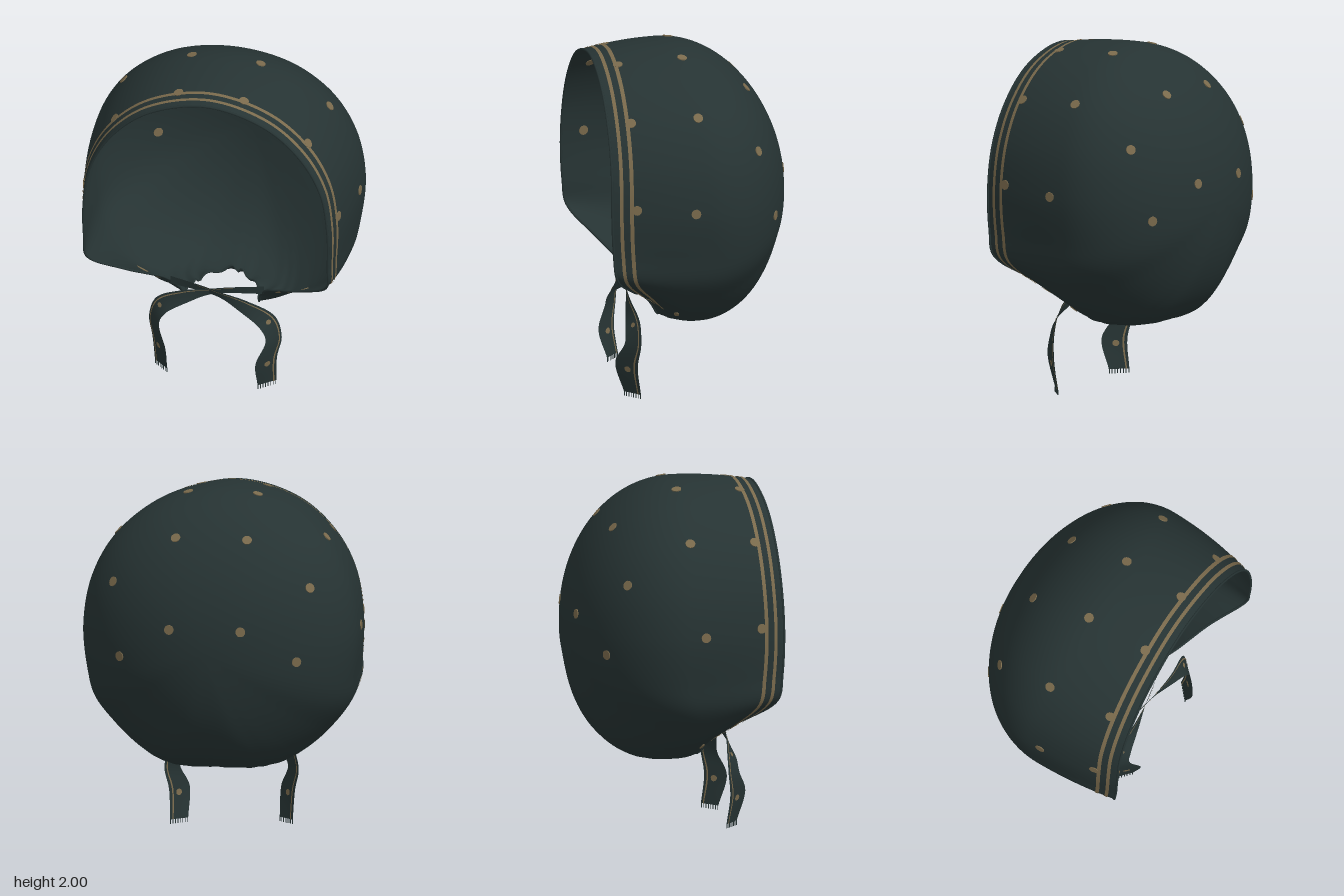
import * as THREE from 'three';
import { mergeVertices } from 'three/addons/utils/BufferGeometryUtils.js';

const V = (x, y, z) => new THREE.Vector3(x, y, z);

// Smooth sheet from a rule f(u, v), u in [u0, u1], v in [v0, v1]
function sheet(f, nu, nv, [u0, u1, v0, v1] = [0, 1, 0, 1]) {
  const pos = [], idx = [];
  for (let i = 0; i <= nu; i++) for (let j = 0; j <= nv; j++) {
    pos.push(...f(u0 + (u1 - u0) * i / nu, v0 + (v1 - v0) * j / nv).toArray());
    if (i < nu && j < nv) {
      const a = i * (nv + 1) + j, b = a + nv + 1;
      idx.push(a, a + 1, b, b, a + 1, b + 1);
    }
  }
  let g = new THREE.BufferGeometry();
  g.setAttribute('position', new THREE.Float32BufferAttribute(pos, 3));
  g.setIndex(idx);
  g = mergeVertices(g, 1e-5);
  g.computeVertexNormals();
  return g;
}

// Closed loop mirrored from one half, running from top to bottom
function mirroredLoop(half) {
  const pts = half.map(p => V(...p));
  const other = pts.slice(1, -1).reverse().map(p => V(-p.x, p.y, p.z));
  return new THREE.CatmullRomCurve3([...pts, ...other], true);
}

export function createModel() {
  const model = new THREE.Group();
  const cloth = new THREE.MeshStandardMaterial({ name: 'dark cloth', color: 0x263333, side: THREE.DoubleSide });
  const tan = new THREE.MeshStandardMaterial({ name: 'tan print', color: 0x7a6a4c, side: THREE.DoubleSide });
  const add = (name, geo, mat, parent = model) => {
    const m = new THREE.Mesh(geo, mat);
    m.name = name;
    parent.add(m);
    return m;
  };

  // Widest outline of the cap, and its open edge (face opening plus neck)
  const wide = mirroredLoop([
    [0, 2, 0.12], [0.35, 1.925, 0.09], [0.6, 1.74, 0.05], [0.74, 1.5, 0.02], [0.79, 1.22, 0], [0.765, 0.95, 0],
    [0.73, 0.79, 0.05], [0.62, 0.64, 0.08], [0.5, 0.53, 0.06], [0.36, 0.45, 0], [0.2, 0.425, -0.1], [0, 0.43, -0.14]]);
  const rim = mirroredLoop([
    [0, 1.96, 0.54], [0.34, 1.87, 0.545], [0.55, 1.69, 0.55], [0.67, 1.47, 0.555], [0.71, 1.22, 0.56], [0.71, 0.98, 0.55],
    [0.7, 0.84, 0.53], [0.52, 0.7, 0.4], [0.28, 0.59, 0.28], [0.22, 0.46, 0.18], [0.17, 0.43, 0], [0, 0.46, -0.11]]);
  const pole = V(0, 1.15, -0.56), SPLIT = 0.6;

  // Cap surface: rounded back from pole to outline, then on to the open edge
  function cap(u, v) {
    u = ((u % 1) + 1) % 1;
    const w = wide.getPoint(u), p = V(0, 0, 0);
    if (v <= SPLIT) {
      const a = v / SPLIT * Math.PI / 2, s = Math.sin(a), c = Math.cos(a);
      p.set(pole.x + (w.x - pole.x) * s, pole.y + (w.y - pole.y) * s, w.z + (pole.z - w.z) * c);
    } else {
      const r = rim.getPoint(u), s = (v - SPLIT) / (1 - SPLIT);
      p.set(w.x + (r.x - w.x) * s * s, w.y + (r.y - w.y) * s * s, w.z + (r.z - w.z) * s);
    }
    // Gathers towards the neck
    const near = THREE.MathUtils.smoothstep(0.17 - Math.abs(u - 0.5), 0, 0.1);
    const k = 0.016 * near * v ** 4 * Math.sin((u - 0.5) * 260 + 1.2 * Math.sin(u * 90));
    return p.add(V(p.x * 0.5 * k, k, p.z * k));
  }
  function capNormal(u, v) {
    const e = 0.004, du = cap(u + e, v).sub(cap(u - e, v));
    const dv = cap(u, Math.min(1, v + e)).sub(cap(u, v - e));
    return dv.cross(du).normalize();
  }
  add('cap', sheet(cap, 264, 60), cloth);
  const hem = new THREE.CatmullRomCurve3(Array.from({ length: 132 }, (_, i) => cap(i / 132, 1)), true);
  add('hem', new THREE.TubeGeometry(hem, 264, 0.007, 6, true), cloth);

  // Two stripes following the face opening
  for (const [d0, d1] of [[0.042, 0.062], [0.098, 0.12]]) {
    const stripe = (u, d) => {
      const t = ((u % 1) + 1) % 1;
      const len = wide.getPoint(t).distanceTo(rim.getPoint(t));
      const v = 1 - (1 - SPLIT) * d / len;
      return cap(u, v).addScaledVector(capNormal(u, v), 0.004);
    };
    add('edgeStripe', sheet(stripe, 140, 2, [-0.365, 0.365, d0, d1]), tan);
  }

  // Printed dots, showing on both faces of the cloth
  const samples = [];
  for (let i = 0; i < 220; i++) for (let j = 3; j < 78; j++) samples.push([i / 220, j / 80, cap(i / 220, j / 80)]);
  const disc = new THREE.CylinderGeometry(0.028, 0.028, 0.009, 14);
  const dots = new THREE.Group();
  dots.name = 'dots';
  model.add(dots);
  const spots = [[0.21, 1.79, -0.34], [0.57, 1.51, -0.32], [0.205, 1.28, -0.53], [0.5, 1.1, -0.41], [0.2, 1.97, 0.05],
    [0.6, 1.74, 0.04], [0.79, 1.23, 0.09], [0.19, 1.95, 0.42], [0.56, 1.72, 0.42], [0.75, 1.26, 0.425], [0.47, 0.53, 0.14]];
  spots.forEach((s, i) => {
    for (const side of [1, -1]) {
      const target = V(s[0] * side, s[1], s[2]);
      let best = samples[0];
      for (const q of samples) if (q[2].distanceToSquared(target) < best[2].distanceToSquared(target)) best = q;
      const n = capNormal(best[0], best[1]);
      const dot = add('dot', disc, tan, dots);
      // Keep the disc in the tangent plane nearest the wanted spot
      const off = target.clone().sub(best[2]);
      dot.position.copy(best[2]).add(off.addScaledVector(n, -off.dot(n)).clampLength(0, 0.02));
      dot.quaternion.setFromUnitVectors(V(0, 1, 0), n);
      if (i === 10) dot.scale.set(0.5, 1, 1.3);
    }
  });

  // Crossed chin ties with a printed line and fringed ends
  const path = new THREE.CatmullRomCurve3([V(-0.27, 0.585, 0.28), V(0, 0.57, 0.335), V(0.18, 0.515, 0.36),
    V(0.315, 0.43, 0.36), V(0.35, 0.33, 0.365), V(0.315, 0.2, 0.395), V(0.31, 0.025, 0.36)]);
  const width = new THREE.CatmullRomCurve3([V(0, 0.025, 0), V(0, 0.02, 0.004), V(0.015, 0.035, -0.01),
    V(0.034, 0.028, -0.035), V(0.038, 0.005, -0.04), V(0.05, 0, -0.055), V(0.045, 0, -0.04)]);
  for (const side of [1, -1]) {
    const tie = new THREE.Group();
    tie.name = side > 0 ? 'leftTie' : 'rightTie';
    model.add(tie);
    const ribbon = (u, v, lift = 0) => {
      const w = width.getPoint(u), p = path.getPoint(u).addScaledVector(w, v);
      p.addScaledVector(path.getTangent(u).cross(w).normalize(), lift);
      return V(p.x * side, p.y + (side < 0 ? 0.025 * u : 0), p.z - (side < 0 ? 0.014 : 0));
    };
    add('ribbon', sheet(ribbon, 60, 4, [0, 1, -1, 1]), cloth, tie);
    for (const lift of [0.003, -0.003]) {
      add('ribbonLine', sheet((u, v) => ribbon(u, v, lift), 60, 1, [0.1, 1, 0.62, 0.76]), tan, tie);
      for (const c of [0.5, 0.86]) {
        const patch = (a, r) => ribbon(c + 0.018 * r * Math.cos(a), 0.1 + 0.28 * r * Math.sin(a), lift * 1.2);
        add('ribbonDot', sheet(patch, 12, 1, [0, Math.PI * 2, 0, 1]), tan, tie);
      }
    }
    for (let i = 0; i < 8; i++) {
      const thread = add('fringe', new THREE.BoxGeometry(0.004, 0.03, 0.004), cloth, tie);
      thread.position.copy(ribbon(1, -0.95 + 1.9 * i / 7)).y -= 0.01;
    }
  }
  return model;
}
